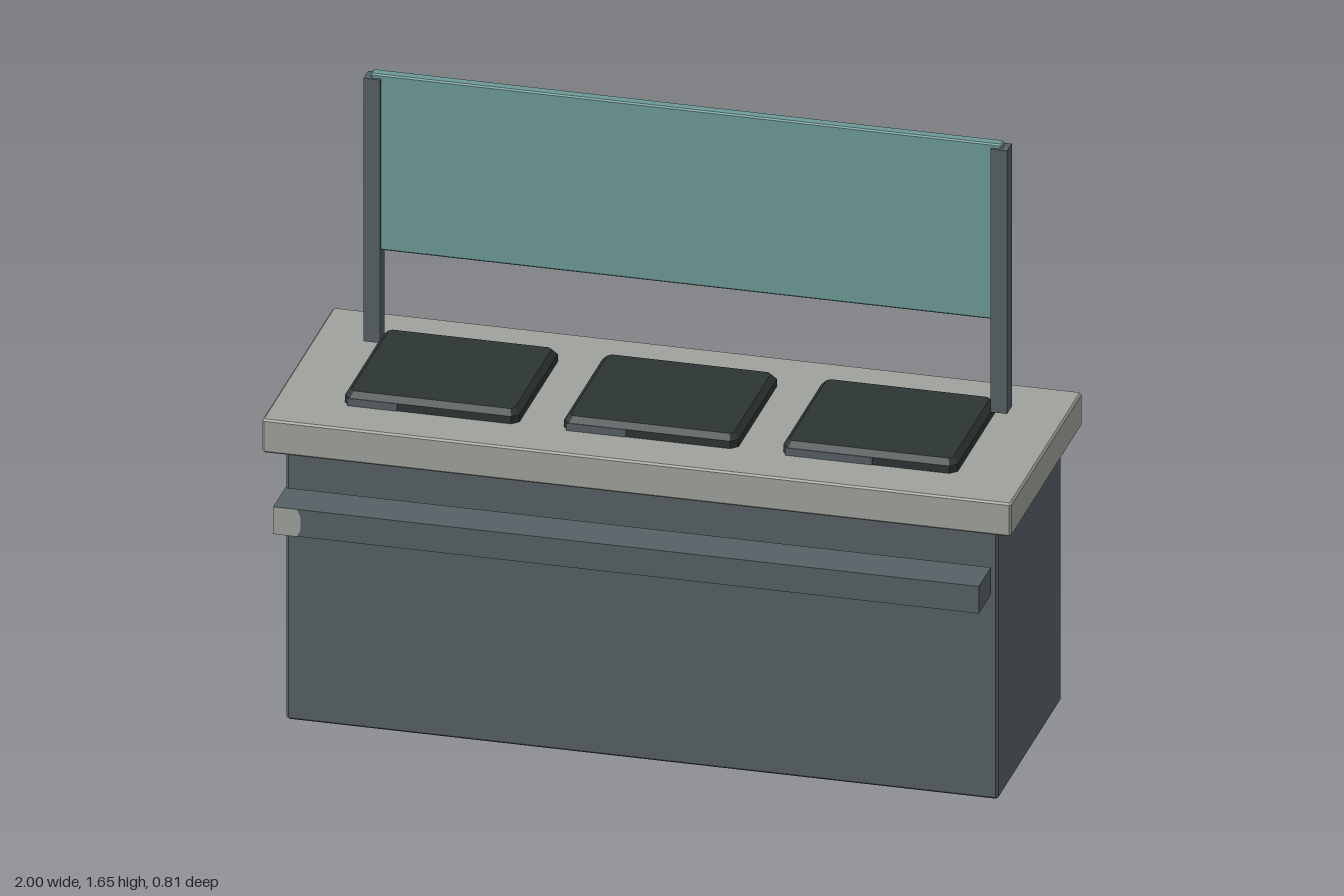
import * as THREE from 'three';

const paint = (name, color) => {
  const m = new THREE.MeshStandardMaterial({ color });
  m.name = name;
  return m;
};

// Box with chamfered edges, given by its min and max corners
function chamferBox(x0, x1, y0, y1, z0, z1, c) {
  const w = (x1 - x0) / 2 - c, d = (z1 - z0) / 2 - c, k = c * 0.6;
  const s = new THREE.Shape([
    [-w + k, -d], [w - k, -d], [w, -d + k], [w, d - k],
    [w - k, d], [-w + k, d], [-w, d - k], [-w, -d + k],
  ].map(([x, y]) => new THREE.Vector2(x, y)));
  const g = new THREE.ExtrudeGeometry(s, {
    depth: y1 - y0 - 2 * c, bevelEnabled: true, bevelSize: c, bevelThickness: c, bevelSegments: 1,
  });
  g.rotateX(-Math.PI / 2);
  g.translate((x0 + x1) / 2, y0 + c, (z0 + z1) / 2);
  return g;
}

// Plain box given by its min and max corners
function box(x0, x1, y0, y1, z0, z1) {
  const g = new THREE.BoxGeometry(x1 - x0, y1 - y0, z1 - z0);
  g.translate((x0 + x1) / 2, (y0 + y1) / 2, (z0 + z1) / 2);
  return g;
}

export function createModel() {
  const group = new THREE.Group();
  group.name = 'servingCounter';
  const slate = paint('slate', 0x566064);
  const stone = paint('stone', 0x9fa29c);
  const glass = paint('glass', 0x6c9a97);
  const dark = paint('darkPan', 0x2d3534);
  const add = (name, geometry, material) => {
    const m = new THREE.Mesh(geometry, material);
    m.name = name;
    group.add(m);
  };

  // Cabinet and worktop
  add('cabinet', chamferBox(-0.95, 0.95, 0, 0.79, -0.382, 0.247, 0.005), slate);
  add('worktop', chamferBox(-1, 1, 0.777, 0.872, -0.407, 0.302, 0.005), stone);

  // Tray rail, with a pale cap on its front right end
  add('trayRail', box(-0.942, 0.942, 0.6, 0.677, 0.285, 0.406), slate);
  const cap = new THREE.Shape([
    [-0.942, 0.6], [-0.878, 0.6], [-0.869, 0.62], [-0.869, 0.657], [-0.878, 0.677], [-0.942, 0.677],
  ].map(([x, y]) => new THREE.Vector2(x, y)));
  const capGeometry = new THREE.ShapeGeometry(cap);
  capGeometry.translate(0, 0, 0.4075);
  add('railCap', capGeometry, stone);

  // Three food pans, each with a lighter strip on part of its front edge
  [[-0.587, 0.31], [-0.002, 0.36], [0.583, 0.52]].forEach(([x, part]) => {
    const x0 = x - 0.233, x1 = x + 0.233;
    add('pan', chamferBox(x0, x1, 0.855, 0.908, -0.254, 0.163, 0.015), dark);
    add('panStrip', box(x0 + 0.01, x0 + 0.466 * part, 0.87, 0.893, 0.16, 0.165), slate);
  });

  // Posts and the screen between them
  for (const side of [-1, 1]) {
    const x = side * 0.837;
    add('post', box(x - 0.022, x + 0.022, 0.892, 1.64, -0.232, -0.185), slate);
  }
  add('screen', chamferBox(-0.843, 0.843, 1.152, 1.652, -0.224, -0.193, 0.004), glass);

  return group;
}
